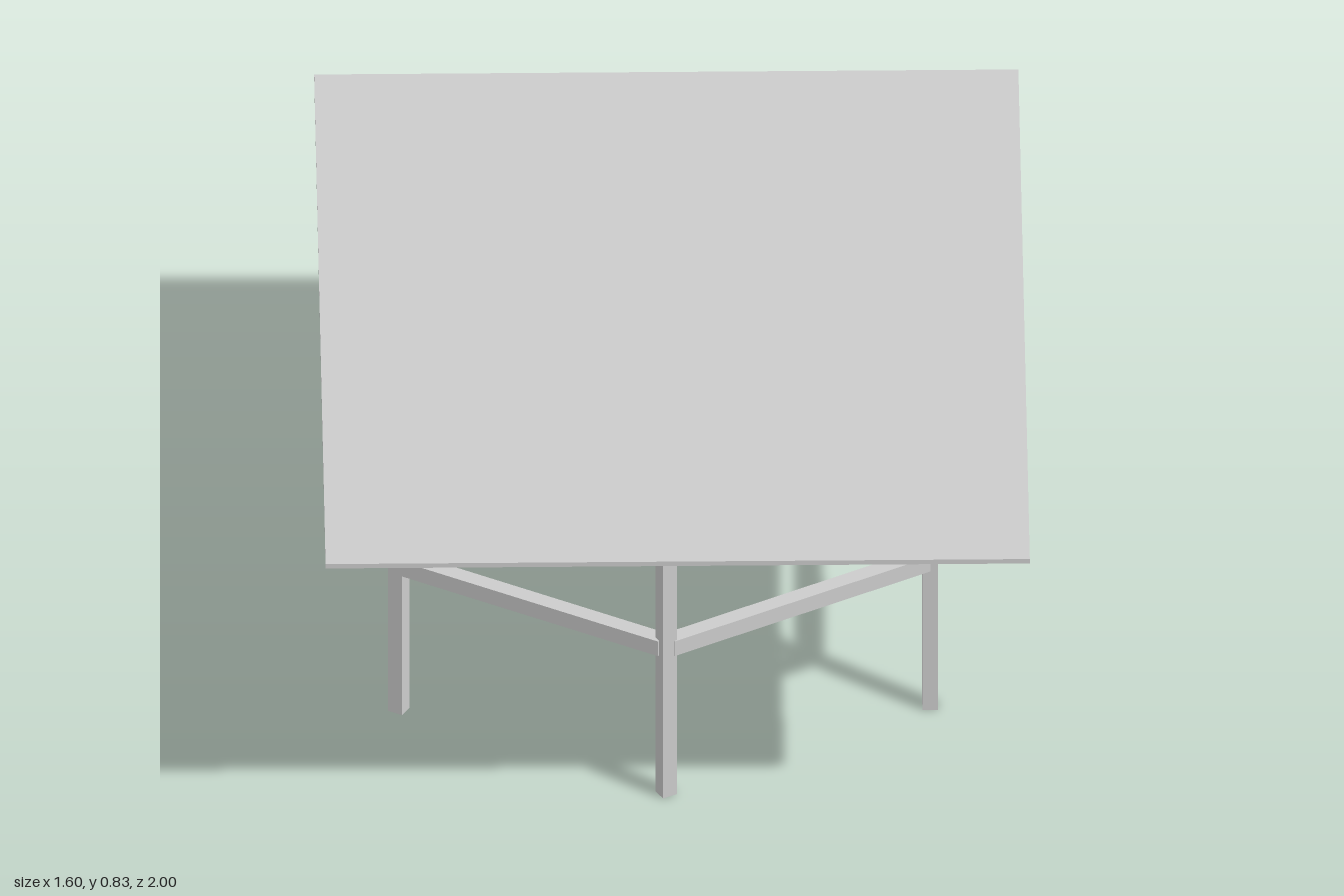
import * as THREE from 'three';

const material = new THREE.MeshStandardMaterial({ color: 0xcccccc, flatShading: true });

function part(name, geometry, x = 0, y = 0, z = 0) {
  const mesh = new THREE.Mesh(geometry, material);
  mesh.name = name;
  mesh.position.set(x, y, z);
  return mesh;
}

// Corners of a hexagon with two sides parallel to the vertical axis of the shape
function hexagon(radius) {
  return Array.from({ length: 6 }, (_, i) => {
    const a = Math.PI / 6 + (i * Math.PI) / 3;
    return new THREE.Vector2(radius * Math.cos(a), radius * Math.sin(a));
  });
}

export function createModel() {
  const model = new THREE.Group();
  model.name = 'table';

  const radius = 0.697; // centre line of the hexagonal frame
  const apothem = radius * Math.cos(Math.PI / 6);
  const bar = 0.04;
  const legHeight = 0.782;

  // Thin rectangular top
  model.add(part('tabletop', new THREE.BoxGeometry(1.6, 0.012, 2), 0, 0.828, 0));

  // The base sits slightly off centre under the top
  const base = new THREE.Group();
  base.name = 'base';
  base.position.x = -0.022;
  model.add(base);

  // Mitred hexagonal frame under the top
  const half = bar / 2 / Math.cos(Math.PI / 6);
  const ring = new THREE.Shape(hexagon(radius + half));
  ring.holes.push(new THREE.Path(hexagon(radius - half)));
  const frame = new THREE.ExtrudeGeometry(ring, { depth: bar, bevelEnabled: false });
  frame.rotateX(-Math.PI / 2);
  base.add(part('upperFrame', frame, 0, legHeight, 0));

  // One leg and one stretcher per side, each leg turned to face its own side
  const legGeometry = new THREE.BoxGeometry(0.035, legHeight, 0.037);
  const stretcherGeometry = new THREE.BoxGeometry(bar, bar, radius - 0.02);
  for (let i = 0; i < 6; i++) {
    const side = new THREE.Group();
    side.name = 'side' + (i + 1);
    side.rotation.y = (-i * Math.PI) / 3;
    side.add(part('leg', legGeometry, apothem, legHeight / 2, radius / 2));
    side.add(part('stretcher', stretcherGeometry, apothem, 0.401, 0));
    base.add(side);
  }

  return model;
}
